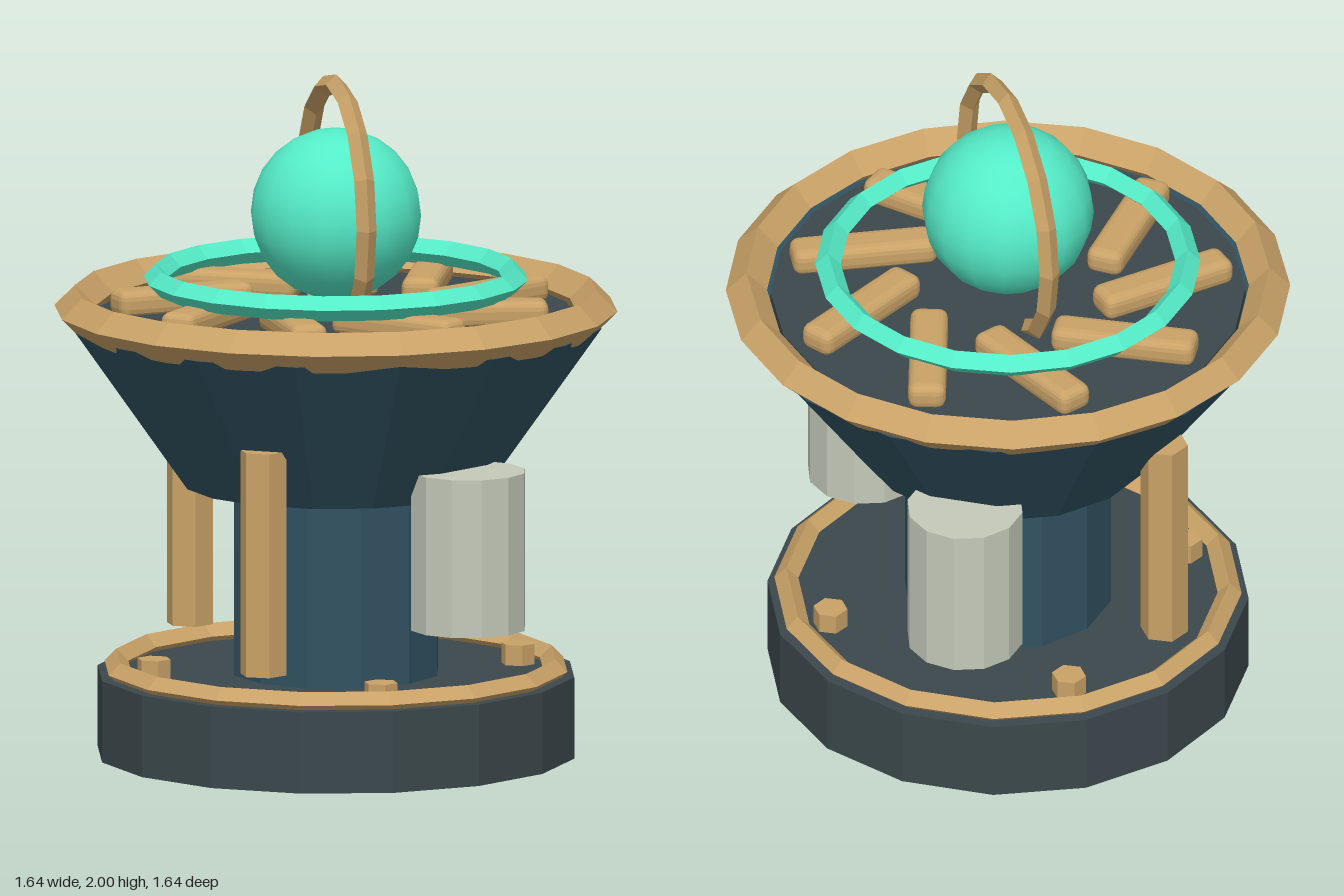
import * as THREE from 'three';
import { RoundedBoxGeometry } from 'three/addons/geometries/RoundedBoxGeometry.js';

const mat = (color, flatShading = true) => new THREE.MeshStandardMaterial({ color, flatShading });

export function createModel() {
  const model = new THREE.Group();
  const gold = mat(0xc9a267);
  const blue = mat(0x315261);
  const slate = mat(0x3b484c);
  const stone = mat(0xc4c9b9);
  const teal = mat(0x55ecc8);
  const orbTeal = mat(0x55ecc8, false);

  const add = (name, geometry, material, x = 0, y = 0, z = 0) => {
    const mesh = new THREE.Mesh(geometry, material);
    mesh.name = name;
    mesh.position.set(x, y, z);
    model.add(mesh);
    return mesh;
  };
  // Upright cylinder or cone between two heights
  const drum = (name, rTop, rBottom, y0, y1, sides, material, x = 0, z = 0) =>
    add(name, new THREE.CylinderGeometry(rTop, rBottom, y1 - y0, sides), material, x, (y0 + y1) / 2, z);
  // Ring with a diamond cross-section
  const ring = (name, radius, tube, sides, y, material) =>
    add(name, new THREE.TorusGeometry(radius, tube, 4, sides), material, 0, y, 0);

  // Base with trim ring and four bolts
  drum('base', 0.7, 0.7, 0, 0.24, 16, slate);
  ring('baseTrim', 0.645, 0.035, 16, 0.255, gold).rotation.x = Math.PI / 2;
  for (let i = 0; i < 4; i++) {
    const a = (i * Math.PI) / 2;
    drum('bolt', 0.05, 0.05, 0.23, 0.3, 6, gold, Math.sin(a) * 0.545, Math.cos(a) * 0.545);
  }

  // Column and flared bowl
  drum('column', 0.305, 0.305, 0.23, 0.82, 12, blue);
  drum('bowl', 0.78, 0.445, 0.795, 1.27, 16, blue);
  ring('bowlRim', 0.76, 0.06, 20, 1.31, gold).rotation.x = Math.PI / 2;
  drum('deck', 0.69, 0.69, 1.25, 1.3, 20, slate);

  // Side canisters and rods, mirrored front to back
  for (const s of [1, -1]) {
    drum('canister', 0.17, 0.17, 0.43, 0.895, 12, stone, 0.285, s * 0.445);
    drum('rod', 0.07, 0.07, 0.32, 0.98, 6, gold, -0.327, s * 0.445);
  }

  // Nine swirling vanes on the deck
  const vane = new RoundedBoxGeometry(0.11, 0.08, 0.425, 2, 0.028);
  for (let i = 0; i < 9; i++) {
    const a = THREE.MathUtils.degToRad(10 + i * 40);
    add('vane', vane, gold, Math.sin(a) * 0.45, 1.33, Math.cos(a) * 0.45).rotation.y = a + Math.PI / 6;
  }

  // Glowing halo, orb and upright hoop
  ring('halo', 0.523, 0.037, 20, 1.4, teal).rotation.x = Math.PI / 2;
  add('orb', new THREE.SphereGeometry(0.25, 16, 12), orbTeal, 0, 1.59, 0);
  ring('hoop', 0.37, 0.03, 16, 1.6, gold).rotation.y = Math.PI / 2;

  return model;
}
